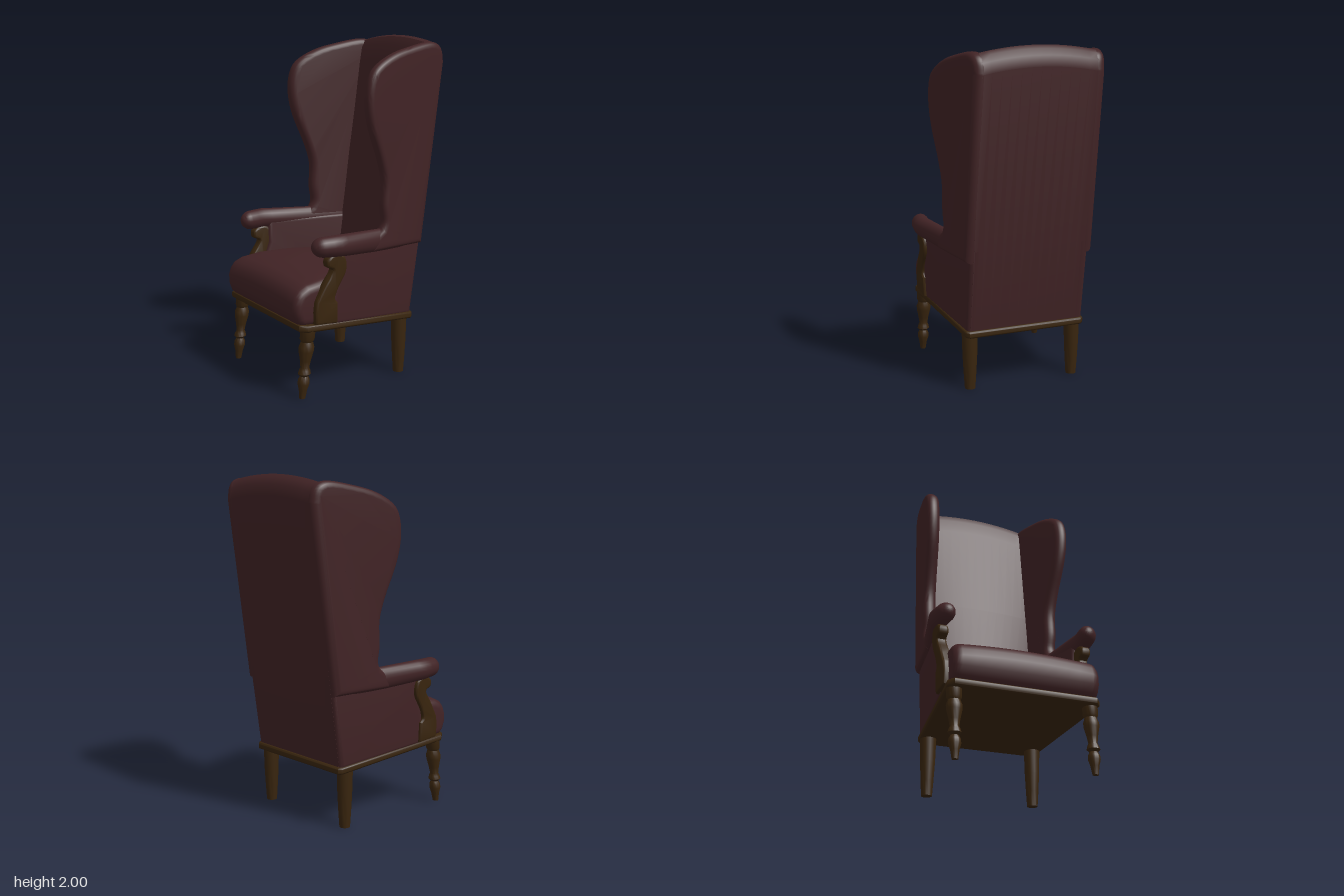
import * as THREE from 'three';
import { mergeVertices, toCreasedNormals } from 'three/addons/utils/BufferGeometryUtils.js';

const fabric = new THREE.MeshStandardMaterial({ color: 0x412325 });
fabric.name = 'maroon fabric';
const wood = new THREE.MeshStandardMaterial({ color: 0x39250e });
wood.name = 'dark wood';

// Moves every vertex by rule(x, y, z) -> [x, y, z]; mirrored copies flip x and the winding
function warp(source, rule, mirrored = false, crease = 0.7) {
  let g = source.clone();
  g.deleteAttribute('uv');
  g.deleteAttribute('normal');
  const p = g.attributes.position;
  for (let i = 0; i < p.count; i++) {
    const [x, y, z] = rule(p.getX(i), p.getY(i), p.getZ(i));
    p.setXYZ(i, mirrored ? -x : x, y, z);
  }
  g = mergeVertices(g, 1e-5);
  if (mirrored) {
    const a = g.index.array;
    for (let i = 0; i < a.length; i += 3) [a[i], a[i + 2]] = [a[i + 2], a[i]];
  }
  return toCreasedNormals(g, crease);
}

function extrude(shape, depth, bevel, steps = 1, bevelDepth = bevel) {
  return new THREE.ExtrudeGeometry(shape, {
    depth: depth - 2 * bevelDepth, steps, curveSegments: 4,
    bevelEnabled: bevel > 0, bevelSize: bevel, bevelOffset: -bevel,
    bevelThickness: bevelDepth, bevelSegments: 5,
  }).translate(0, 0, bevelDepth);
}

const vec = (pts) => pts.map(([x, y]) => new THREE.Vector2(x, y));
const polygon = (pts) => new THREE.Shape(vec(pts));

// Plane of the reclined rear face, and outer half widths of the lower panels and the wings
const rear = (y) => -0.33 - 0.142 * (y - 0.4);
const panelHalf = (z, y) => 0.362 + (0.11 + 0.05 * (y - 0.4)) * (z - rear(y));
const wingHalf = (z, y) => 0.396 - 0.013 * (y - 0.4) + (0.11 + 0.036 * (y - 0.4)) * (z - rear(y));

export function createModel() {
  const root = new THREE.Group();
  root.name = 'wingArmchair';
  const chair = new THREE.Group();
  chair.name = 'chair';
  chair.rotation.y = -1.256;
  chair.position.set(-0.008, 0, -0.024);
  root.add(chair);
  const add = (name, geometry, material) => {
    const m = new THREE.Mesh(geometry, material);
    m.name = name;
    chair.add(m);
    return m;
  };
  const sides = [['right', false], ['left', true]];

  // Seat rail with closed underside, rising toward the front
  const rail = extrude(polygon([
    [-0.35, -0.34], [0.35, -0.34], [0.37, -0.32], [0.44, 0.44], [0.41, 0.48],
    [-0.41, 0.48], [-0.44, 0.44], [-0.37, -0.32],
  ]), 0.042, 0.012);
  add('seatRail', warp(rail, (x, y, t) => [-x, 0.33 + 0.08 * (y + 0.33) + t, y]), wood);

  // Side panels below the arms, thinner toward the front
  const panel = extrude(polygon([
    [-0.324, 0.36], [0.28, 0.41], [0.28, 0.52], [0.265, 0.62], [0.225, 0.72],
    [0.225, 0.86], [rear(0.86), 0.86],
  ]), 1, 0.025, 1, 0.4);

  // Wings standing on the arms
  const wing = polygon([[rear(0.79), 0.79], [0, 0.79], [0, 0.87], [-0.07, 0.915]]);
  wing.splineThru(vec([
    [-0.085, 0.96], [-0.075, 1.05], [-0.08, 1.19], [-0.045, 1.32], [0.03, 1.51],
    [0.055, 1.66], [0.035, 1.78], [-0.02, 1.85], [-0.14, 1.91], [-0.28, 1.945],
    [-0.42, 1.968], [-0.49, 1.955], [-0.524, 1.915], [rear(1.85), 1.85],
  ]));
  const wingGeo = extrude(wing, 0.08, 0.036);
  for (const [side, mirrored] of sides) {
    add(side + 'SidePanel', warp(panel, (z, y, t) => {
      const thickness = 0.07 - 0.03 * (z + 0.33);
      return [-(panelHalf(z, y) - thickness * (1 - t)), y, z];
    }, mirrored), fabric);
    add(side + 'Wing', warp(wingGeo, (z, y, t) => [-(wingHalf(z, y) - 0.08 + t), y, z], mirrored), fabric);
  }

  // Reclined back with a crowned top and a front that swells toward the sitter
  const back = extrude(polygon([
    [-0.324, 0.36], [-0.22, 0.36], [-0.25, 0.62], [-0.29, 0.92], [-0.33, 1.25],
    [-0.405, 1.82], [-0.42, 1.91], [-0.445, 1.955], [-0.475, 1.963], [-0.505, 1.945],
    [-0.526, 1.91], [rear(1.85), 1.85],
  ]), 2, 0, 12);
  add('back', warp(back, (z, y, t) => {
    const s = t - 1;
    const dome = 1 - s * s;
    const swell = z > rear(y) + 0.06 && y < 1.8 ? 0.045 * Math.min(1, (1.8 - y) / 0.9) : 0;
    return [-s * 0.342, y + (y > 1.8 ? 0.035 * dome : 0), z + swell * dome];
  }), fabric);

  // Padded seat with a rolled front edge
  const seat = extrude(polygon([
    [-0.3, 0.36], [0.46, 0.42], [0.49, 0.45], [0.507, 0.5], [0.508, 0.55],
    [0.495, 0.59], [0.47, 0.625], [0.42, 0.65], [0.3, 0.668], [0.1, 0.67], [-0.3, 0.64],
  ]), 2, 0.045, 10, 0.12);
  add('seat', warp(seat, (z, y, t) => {
    const s = t - 1;
    const crown = y > 0.55 ? 0.02 * (1 - s * s) : 0;
    return [-s * (0.345 + 0.1 * (z + 0.33)), y + crown, z];
  }, false, 0.8), fabric);

  // Padded arms, narrowing into the wings
  const arm = new THREE.CapsuleGeometry(0.06, 0.66, 8, 20, 14).rotateX(Math.PI / 2);
  for (const [side, mirrored] of [['left', false], ['right', true]]) {
    add(side + 'Arm', warp(arm, (x, y, z) => {
      const f = z + 0.01;
      const behind = Math.max(0, 0.25 - f);
      const tip = Math.max(0, f - 0.25);
      return [0.443 - 0.17 * behind - 0.15 * tip + x * (0.9 - 0.7 * behind),
        0.866 - 0.05 * behind + y * (1.03 + 0.25 * behind - 0.8 * tip), f];
    }, mirrored, 1), fabric);
  }

  // Scrolled arm posts
  const post = polygon([[0.246, 0.42], [0.39, 0.43], [0.393, 0.5], [0.385, 0.56]]);
  post.splineThru(vec([[0.33, 0.655], [0.282, 0.73], [0.318, 0.755], [0.316, 0.8], [0.26, 0.825],
    [0.205, 0.8], [0.195, 0.72], [0.243, 0.63], [0.265, 0.57], [0.246, 0.54]]));
  const postGeo = extrude(post, 0.06, 0.014);
  for (const [side, mirrored] of sides) {
    add(side + 'ArmPost', warp(postGeo,
      (z, y, t) => [-(0.385 + 0.04 * (y - 0.42) + t), y, z], mirrored), wood);
  }

  // Turned front legs, leaning forward at the foot
  const turned = new THREE.LatheGeometry(vec([
    [0, 0], [0.017, 0], [0.024, 0.05], [0.034, 0.085], [0.033, 0.11], [0.023, 0.13],
    [0.037, 0.145], [0.032, 0.165], [0.025, 0.18], [0.031, 0.22], [0.043, 0.275],
    [0.044, 0.3], [0.034, 0.33], [0.042, 0.345], [0.044, 0.41], [0, 0.41],
  ]), 24);
  const turnedGeo = warp(turned, (x, y, z) => [x, y, z - 0.1 * y]);

  // Plain tapered back legs
  const tapered = new THREE.LatheGeometry(vec([
    [0, 0], [0.031, 0], [0.037, 0.09], [0.043, 0.2], [0.047, 0.35], [0, 0.35],
  ]), 20);
  const taperedGeo = warp(tapered, (x, y, z) => [x, y, z]);
  for (const [side, s] of [['left', 1], ['right', -1]]) {
    add(side + 'FrontLeg', turnedGeo, wood).position.set(0.393 * s, 0, 0.453);
    add(side + 'BackLeg', taperedGeo, wood).position.set(0.325 * s, 0, -0.262);
  }
  return root;
}
